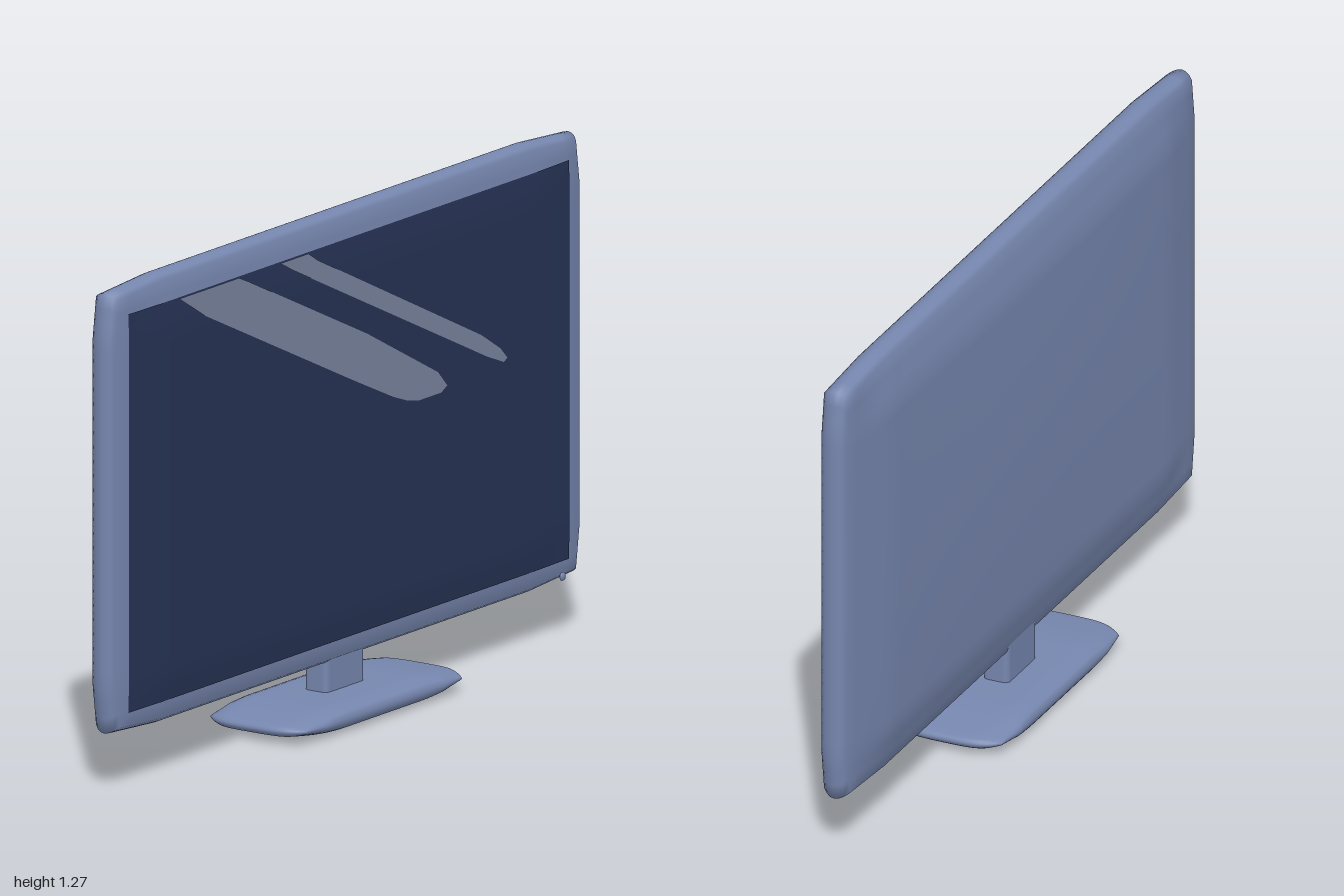
import * as THREE from 'three';
import { mergeVertices } from 'three/addons/utils/BufferGeometryUtils.js';
import { RoundedBoxGeometry } from 'three/addons/geometries/RoundedBoxGeometry.js';

const casing = new THREE.MeshStandardMaterial({ name: 'slate blue casing', color: 0x7686ae });
const glass = new THREE.MeshStandardMaterial({ name: 'dark navy glass', color: 0x263355 });
const gloss = new THREE.MeshStandardMaterial({ name: 'pale screen gloss', color: 0x79849f });

const CENTRE_Y = 0.705;
const ramp = (s, from) => THREE.MathUtils.clamp((Math.abs(s) - from) / (1 - from), 0, 1);

// Smooth closed solid: a subdivided box from -1 to 1 whose vertices are moved by a rule
function warpedBox(nx, ny, nz, rule) {
  let geo = new THREE.BoxGeometry(2, 2, 2, nx, ny, nz);
  geo.deleteAttribute('normal');
  geo.deleteAttribute('uv');
  geo = mergeVertices(geo);
  const p = geo.attributes.position;
  for (let i = 0; i < p.count; i++) p.setXYZ(i, ...rule(p.getX(i), p.getY(i), p.getZ(i)));
  geo.computeVertexNormals();
  return geo;
}

// Panel depth falls off towards its rim
const rim = (u, v) => 1 - (1 - ramp(u, 0.8)) * (1 - ramp(v, 0.8));
const frontDepth = (u, v) => 0.047 - 0.013 * rim(u, v);
const backDepth = (u, v) => 0.059 + 0.016 * (1 - u * u) * (1 - v * v) - 0.024 * rim(u, v);

function panelRule(u, v, w) {
  const x = u * (1 - 0.015 * ramp(v, 0.8) - 0.015 * w * w);
  const y = v * (0.57 - 0.013 * ramp(u, 0.8) - 0.015 * w * w);
  return [x, CENTRE_Y + y, w * (w > 0 ? frontDepth(u, v) : backDepth(u, v))];
}

function baseRule(u, h, w) {
  const half = 0.032 * (1 - 0.6 * ramp(u, 0.5) ** 1.5) * (1 - 0.4 * ramp(w, 0.65) ** 2);
  const x = u * (0.37 - 0.038 * w ** 4) * (1 - 0.025 * h * h);
  const z = w * (0.155 - 0.012 * ramp(u, 0.75)) * (1 - 0.05 * h * h);
  return [x, 0.034 + h * half, z];
}

// Flat reflection drawn from an outline of points
function glossStripe(points) {
  const shape = new THREE.Shape(points.map(([x, y]) => new THREE.Vector2(x, y)));
  return new THREE.ShapeGeometry(shape);
}

export function createModel() {
  const model = new THREE.Group();
  model.name = 'television';
  const add = (name, geo, mat, x = 0, y = 0, z = 0) => {
    const mesh = new THREE.Mesh(geo, mat);
    mesh.name = name;
    mesh.position.set(x, y, z);
    model.add(mesh);
    return mesh;
  };

  // Housing with bulging back
  add('housing', warpedBox(40, 30, 6, panelRule), casing);

  // Screen sheet following the housing front
  const screen = new THREE.PlaneGeometry(1.87, 1.01, 40, 30);
  const p = screen.attributes.position;
  for (let i = 0; i < p.count; i++) {
    const u = p.getX(i) / 0.985, v = (p.getY(i) - 0.005) / 0.555;
    p.setZ(i, frontDepth(u, v) + 0.002);
  }
  screen.computeVertexNormals();
  add('screen', screen, glass, 0, 0.7, 0);

  // Reflections across the screen
  add('wideReflection', glossStripe([
    [-0.738, 1.205], [-0.63, 1.14], [0.01, 0.84], [0.17, 0.767], [0.23, 0.745], [0.28, 0.735],
    [0.374, 0.735], [0.4, 0.748], [0.36, 0.79], [0.06, 0.95], [-0.45, 1.19], [-0.485, 1.205],
  ]), gloss, 0, 0, 0.051);
  add('narrowReflection', glossStripe([
    [-0.31, 1.205], [-0.25, 1.174], [0.57, 0.785], [0.64, 0.757], [0.655, 0.765],
    [0.625, 0.795], [0.545, 0.845], [-0.15, 1.18], [-0.19, 1.205],
  ]), gloss, 0, 0, 0.051);

  // Power button
  add('powerButton', new THREE.SphereGeometry(0.011, 16, 10), casing, 0.885, 0.163, 0.054).scale.z = 0.5;

  // Stand
  add('standNeck', new RoundedBoxGeometry(0.165, 0.16, 0.07, 4, 0.015), casing, 0, 0.125, -0.005);
  add('standBase', warpedBox(32, 6, 20, baseRule), casing);

  return model;
}
